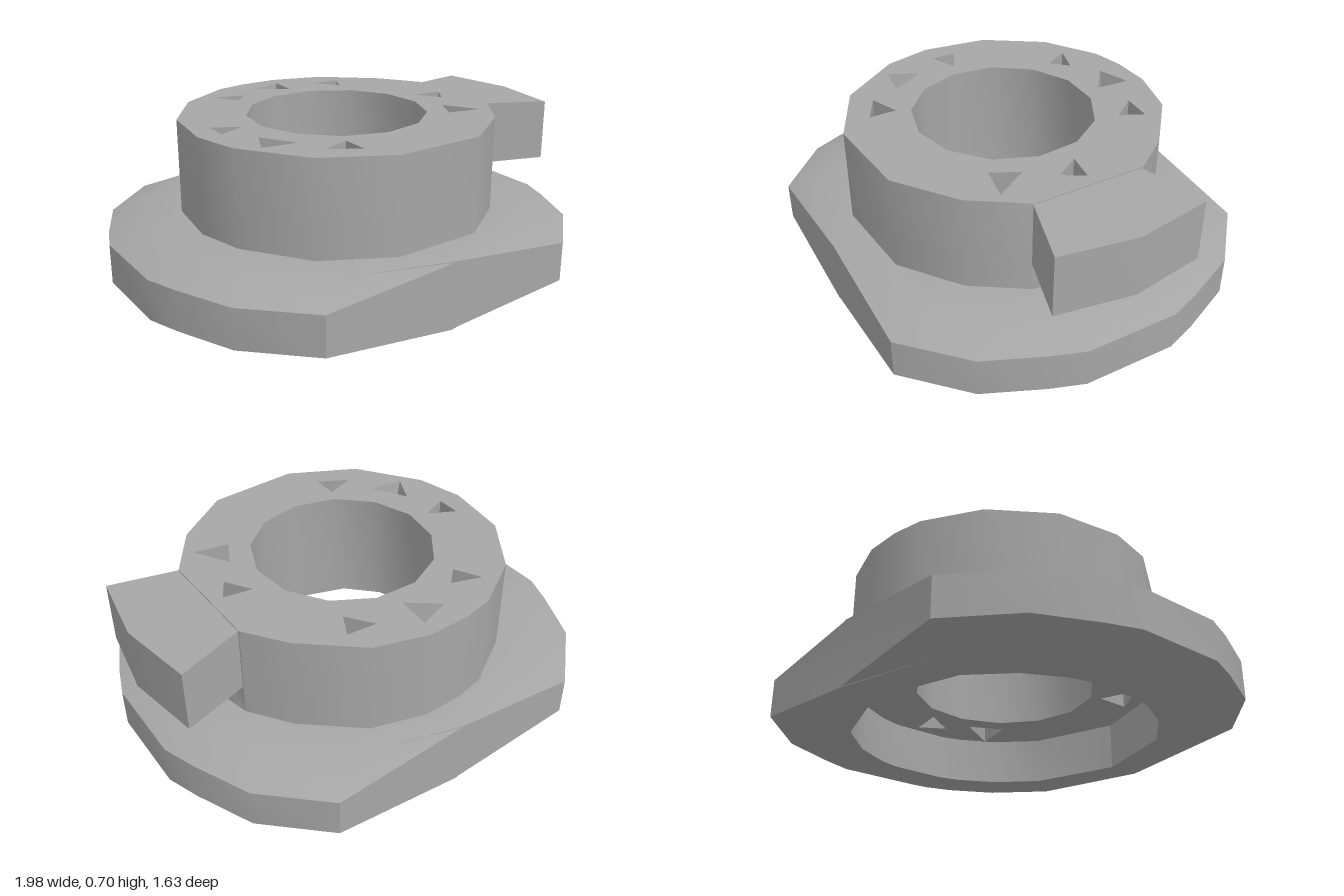
import * as THREE from 'three';
import { mergeGeometries, toCreasedNormals } from 'three/addons/utils/BufferGeometryUtils.js';

const metal = new THREE.MeshStandardMaterial({ color: 0xa6a6a6 });
metal.name = 'grey metal';
metal.side = THREE.DoubleSide;

// Skin between rings of [x, y, z] points, each ring running from +x towards +z
function loft(rings) {
  const pos = [];
  for (let k = 0; k + 1 < rings.length; k++) {
    const a = rings[k], b = rings[k + 1], n = a.length;
    for (let i = 0; i < n; i++) {
      const j = (i + 1) % n;
      pos.push(...a[i], ...b[i], ...b[j], ...a[i], ...b[j], ...a[j]);
    }
  }
  const g = new THREE.BufferGeometry();
  g.setAttribute('position', new THREE.Float32BufferAttribute(pos, 3));
  return g;
}

const level = (pts, y) => pts.map(([x, z]) => [x, y, z]);

// Horizontal face with holes, facing up (side 1) or down (side -1)
function plate(outline, holes, y, side) {
  const v = pts => pts.map(([x, z]) => new THREE.Vector2(x, -side * z));
  const shape = new THREE.Shape(v(outline));
  holes.forEach(h => shape.holes.push(new THREE.Path(v(h))));
  const g = new THREE.ShapeGeometry(shape).rotateX(-side * Math.PI / 2).translate(0, y, 0).toNonIndexed();
  g.deleteAttribute('uv');
  g.deleteAttribute('normal');
  return g;
}

function part(name, geometries) {
  const mesh = new THREE.Mesh(toCreasedNormals(mergeGeometries(geometries), 0.6), metal);
  mesh.name = name;
  return mesh;
}

const centre = pts => [0, 1].map(k => pts.reduce((s, p) => s + p[k], 0) / pts.length);
const scaleAbout = (pts, s) => {
  const c = centre(pts);
  return pts.map(p => [c[0] + (p[0] - c[0]) * s, c[1] + (p[1] - c[1]) * s]);
};

// Round flange with two flats, chamfered edges and a recess underneath
function makeFlange() {
  const q = [[0.99, 0.2], [0.94, 0.34], [0.83, 0.585], [0.585, 0.815]];
  const half = [...q, [0, 0.815], ...q.slice().reverse().map(([x, z]) => [-x, z])];
  const outline = [...half, ...half.map(([x, z]) => [-x, -z])];
  const round = r => outline.map(([x, z]) => {
    const l = Math.hypot(x, z);
    const s = Math.min(r / l, 0.815 / Math.abs(z));
    return [x * s, z * s];
  });
  // The chamfers fade out towards the middle of each flat
  const edge = (y, yMid) => outline.map(([x, z]) => [x, x === 0 ? yMid : y, z]);
  return part('flange', [loft([
    level(round(0.66), 0.21), level(round(0.66), 0), level(round(0.84), 0),
    edge(0.06, 0.004), edge(0.23, 0.286),
    level(round(0.84), 0.29), level(round(0.63), 0.29),
  ])]);
}

// Hub with central bore, through holes and blind pits
function makeHub() {
  const top = 0.7, bottom = 0.21;
  const outline = [
    [0.65, -0.07], [0.65, 0.24], [0.5, 0.46], [0.25, 0.64], [-0.15, 0.665], [-0.44, 0.52],
    [-0.63, 0.25], [-0.68, 0.04], [-0.64, -0.25], [-0.47, -0.5], [-0.24, -0.645],
    [-0.1, -0.675], [0.07, -0.68], [0.3, -0.615], [0.53, -0.42], [0.65, -0.25],
  ];
  const foot = outline.map((p, i) => (i === 0 ? [0.69, -0.07] : p));
  const bore = Array.from({ length: 13 }, (_, i) => {
    const a = (i + 0.3) / 13 * Math.PI * 2;
    return [0.392 * Math.cos(a), 0.392 * Math.sin(a)];
  });
  const through = [
    [[-0.33, -0.51], [-0.2, -0.47], [-0.27, -0.4]],
    [[0.2, -0.51], [0.33, -0.5], [0.28, -0.4]],
    [[-0.58, -0.06], [-0.46, 0], [-0.58, 0.05]],
    [[0.47, -0.05], [0.595, -0.03], [0.54, 0.06]],
    [[0.45, 0.17], [0.54, 0.32], [0.39, 0.29]],
    [[-0.35, 0.45], [-0.22, 0.4], [-0.22, 0.52]],
  ];
  const blind = [
    [[-0.09, -0.56], [0.05, -0.61], [0.04, -0.46]],
    [[-0.48, 0.17], [-0.39, 0.32], [-0.54, 0.3]],
  ];
  const wide = through.map(t => scaleAbout(t, 1.25));
  return part('hub', [
    loft([level(foot, bottom), level(foot, 0.29), level(outline, 0.415), level(outline, top)]),
    plate(outline, [bore, ...through, ...blind], top, 1),
    plate(foot, [bore, ...wide], bottom, -1),
    loft([level(bore, top), level(bore, bottom)]),
    ...through.map((t, i) => loft([level(t, top), level(wide[i], bottom)])),
    ...blind.map(t => loft([level(t, top), level(scaleAbout(t, 0), 0.42)])),
  ]);
}

// Flared key sticking out of the hub side
function makeTab() {
  const outline = [[0.985, 0], [0.93, 0.33], [0.62, 0.235], [0.62, -0.235], [0.93, -0.33]];
  const upper = outline.map(([x, z]) => [x, x < 0.7 ? 0.697 : 0.682, z]);
  const mid = y => outline.map(() => [0.8, y, 0]);
  return part('tab', [loft([mid(0.415), level(outline, 0.415), upper, mid(0.689)])]);
}

export function createModel() {
  const model = new THREE.Group();
  model.name = 'flanged collar';
  model.add(makeFlange(), makeHub(), makeTab());
  return model;
}
